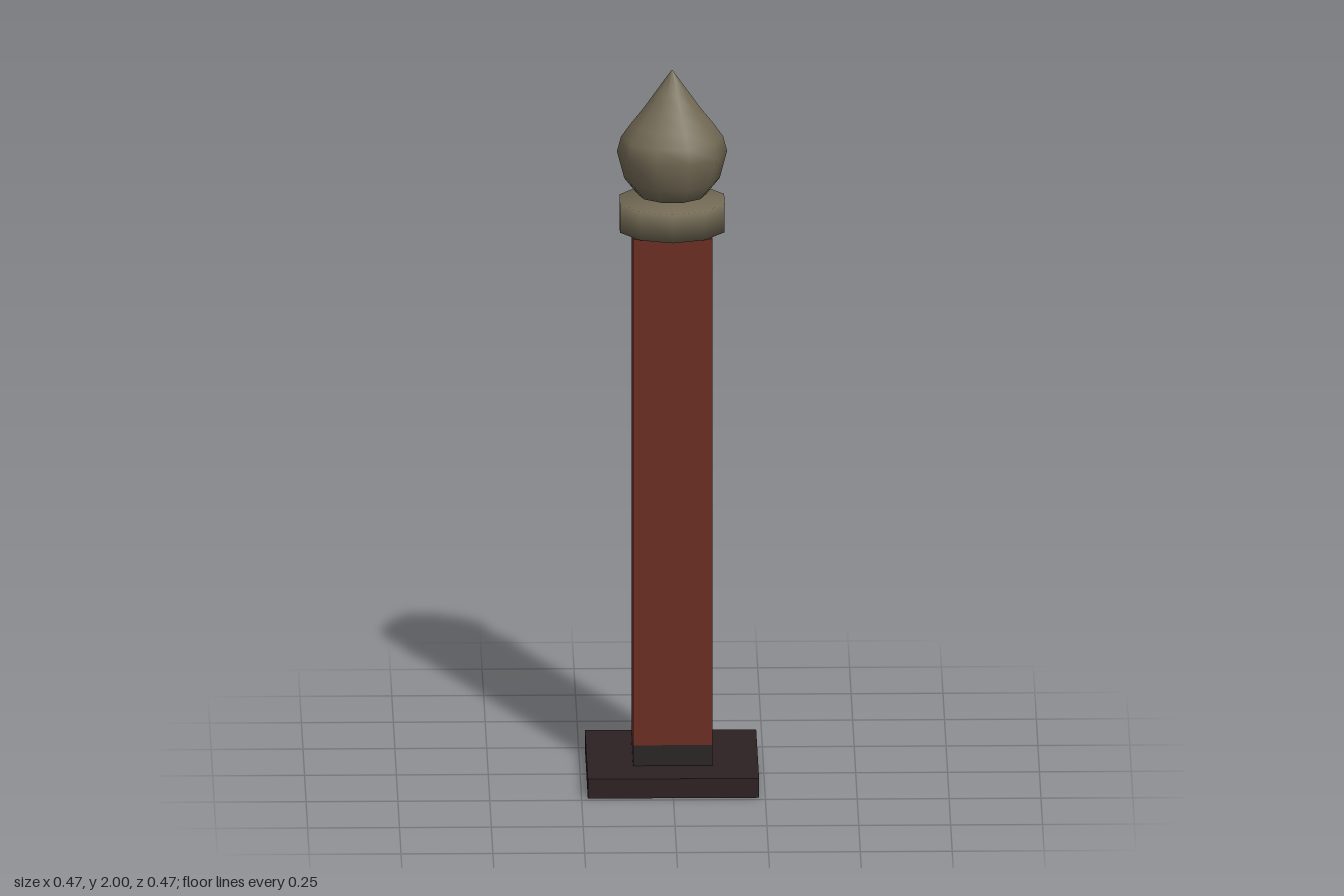
import * as THREE from 'three';

const paint = (name, color) => {
  const m = new THREE.MeshStandardMaterial({ color });
  m.name = name;
  return m;
};

export function createModel() {
  const red = paint('oxide red', 0x6b2d23);
  const dark = paint('dark brown', 0x2d2122);
  const charcoal = paint('charcoal', 0x2a2424);
  const stone = paint('weathered stone', 0x736a55);

  const model = new THREE.Group();
  model.name = 'post';

  const add = (name, geometry, material, y = 0) => {
    const mesh = new THREE.Mesh(geometry, material);
    mesh.name = name;
    mesh.position.y = y;
    model.add(mesh);
    return mesh;
  };

  // Square block standing between two heights
  const block = (name, width, y0, y1, material) =>
    add(name, new THREE.BoxGeometry(width, y1 - y0, width), material, (y0 + y1) / 2);

  // Ten-sided turned part with smooth normals; profile runs from bottom to top
  const turned = (name, profile, material) =>
    add(name, new THREE.LatheGeometry(profile.map(([r, y]) => new THREE.Vector2(r, y)), 10), material);

  // Base plate, plinth and shaft
  block('basePlate', 0.466, 0, 0.055, dark);
  block('plinth', 0.216, 0.055, 0.113, charcoal);
  block('shaft', 0.216, 0.113, 1.55, red);

  // Collar disc, its vertices facing along z
  turned('collar', [[0, 1.551], [0.15, 1.551], [0.15, 1.632], [0, 1.632]], stone);

  // Teardrop finial, its vertices facing along x
  const finial = turned('finial', [
    [0, 1.633], [0.05, 1.637], [0.095, 1.648], [0.13, 1.692], [0.15, 1.768],
    [0.139, 1.81], [0.112, 1.848], [0.078, 1.89], [0.045, 1.937], [0, 2],
  ], stone);
  finial.rotation.y = Math.PI / 2;

  return model;
}
